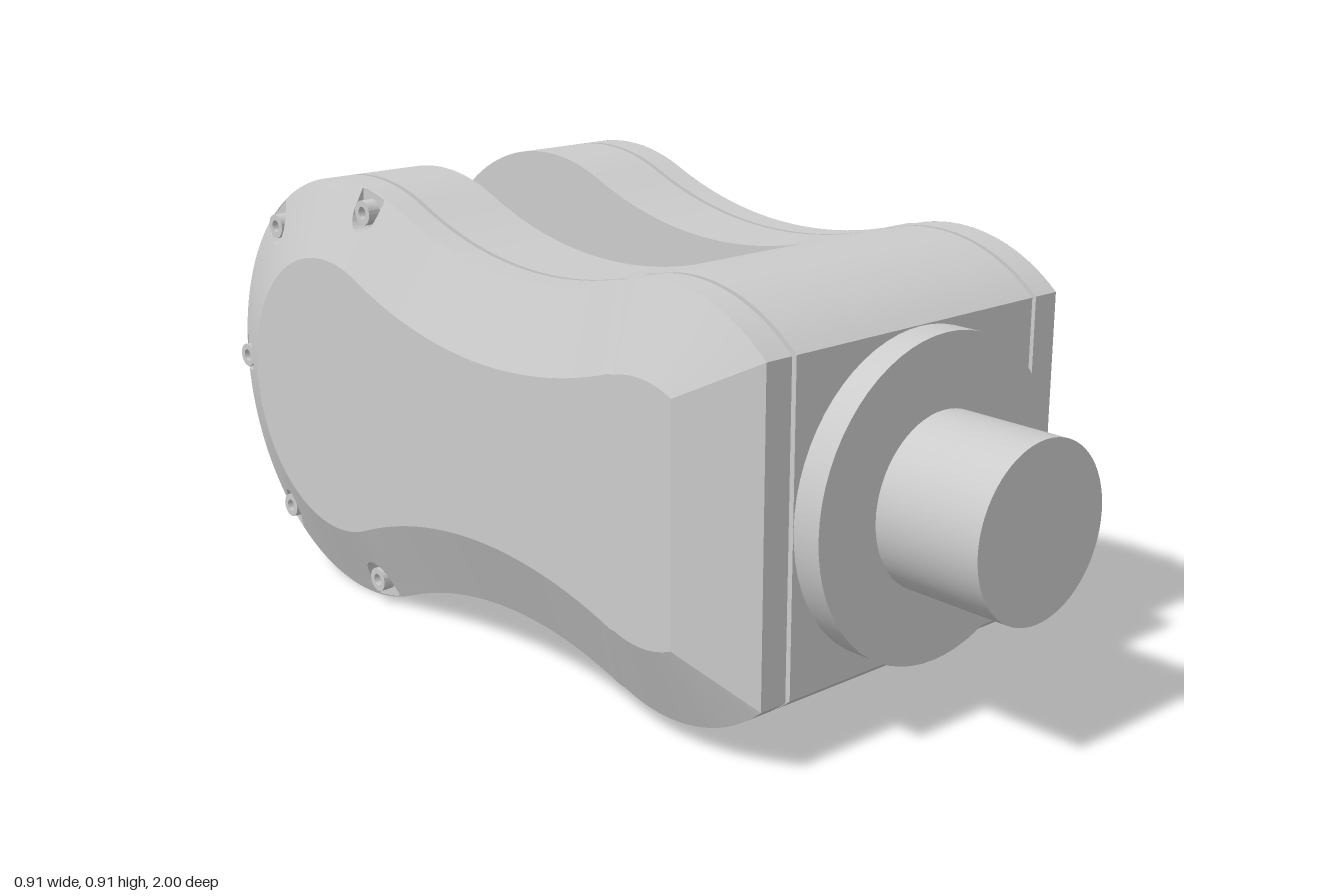
import * as THREE from 'three';
import { toCreasedNormals, mergeGeometries } from 'three/addons/utils/BufferGeometryUtils.js';

const MID = 0.457;                       // height of the symmetry line
const CHAMFER = 0.16;                    // inset of the cover's flat face
const X_EDGE = 0.385, X_FACE = 0.455;    // cover rim and cover face
const SCREW_INSET = 0.044;

// Upper half of the side outline: three tangent arcs, centres in (z, y)
const ARCS = [
  { z: 0.46, y: 0.494, r: 0.376, inward: -1, a0: 0.844, a1: 1.902 },
  { z: 0.02, y: 1.775, r: 0.975, inward: 1, a0: -1.240, a1: -1.973 },
  { z: -0.54, y: MID, r: 0.457, inward: -1, a0: 1.169, a1: Math.PI },
];
const lengths = ARCS.map((a) => a.r * Math.abs(a.a1 - a.a0));
const HALF = lengths[0] + lengths[1] + lengths[2];

const grey = () => new THREE.MeshStandardMaterial({ color: 0xcccccc, side: THREE.DoubleSide });

// Point [z, y] at distance s along the outline, inset by d
function outlineAt(s, d) {
  const lower = s > HALF;
  let t = lower ? 2 * HALF - s : s;
  let i = 0;
  while (i < 2 && t > lengths[i]) t -= lengths[i++];
  const a = ARCS[i];
  const start = i === 0 ? Math.acos((0.25 - d) / (a.r - d)) : a.a0;
  const angle = start + (a.a1 - start) * (t / lengths[i]);
  const r = a.r + a.inward * d;
  const y = a.y + r * Math.sin(angle);
  return [a.z + r * Math.cos(angle), lower ? 2 * MID - y : y];
}

function outline(d, n = 160) {
  return Array.from({ length: n + 1 }, (_, i) => outlineAt((2 * HALF * i) / n, d));
}

const toShape = (pts) => new THREE.Shape(pts.map(([z, y]) => new THREE.Vector2(-z, y)));

// Plate with a side-view shape, between x0 and x1
function plate(shape, x0, x1) {
  const g = new THREE.ExtrudeGeometry(shape, { depth: x1 - x0, bevelEnabled: false, curveSegments: 32 });
  g.rotateY(Math.PI / 2).translate(x0, 0, 0);
  return toCreasedNormals(g, 0.3);
}

// Surface through rows of [x, y, z] points
function loft(rows) {
  const n = rows[0].length;
  const index = [];
  for (let j = 0; j < rows.length - 1; j++) {
    for (let i = 0; i < n - 1; i++) {
      const a = j * n + i, b = a + n;
      index.push(a, a + 1, b, b, a + 1, b + 1);
    }
  }
  const g = new THREE.BufferGeometry();
  g.setAttribute('position', new THREE.Float32BufferAttribute(rows.flat(2), 3));
  g.setIndex(index);
  return g;
}

// Point on the sloping border of the cover
function slope(s, d) {
  const [z, y] = outlineAt(s, d);
  return [X_EDGE + (X_FACE - X_EDGE) * (d / CHAMFER), y, z];
}

// Stretch of sloping border without a pocket
function plainPatch(s0, s1) {
  const row = (d) => Array.from({ length: 25 }, (_, i) => slope(s0 + ((s1 - s0) * i) / 24, d));
  return [loft([row(CHAMFER), row(0)])];
}

// Stretch of sloping border around a screw pocket, plus the pocket wall
function pocketPatch(s0, s1, sc) {
  const N = 24, M = 8, rim = [];
  const along = (i) => {
    const t = (2 * i) / N - 1;
    const w = Math.pow(Math.abs(t), 1.7);
    return t < 0 ? sc - (sc - s0) * w : sc + (s1 - sc) * w;
  };
  for (let i = 0; i < N; i++) rim.push([along(i), 0]);
  for (let i = 0; i < M; i++) rim.push([s1, (CHAMFER * i) / M]);
  for (let i = N; i > 0; i--) rim.push([along(i), CHAMFER]);
  for (let i = M; i >= 0; i--) rim.push([s0, (CHAMFER * i) / M]);
  // round on the inside, squared off towards the edge
  const hole = rim.map(([s, d]) => {
    const a = Math.atan2(d - SCREW_INSET, s - sc);
    const c = Math.cos(a), v = Math.sin(a);
    const r = 0.041 / (v < 0 ? Math.max(Math.abs(c), Math.abs(v)) : 1);
    return [sc + r * c, SCREW_INSET + r * v];
  });
  const rows = [0, 0.33, 0.67, 1].map((k) => rim.map(([s, d], i) =>
    slope(s + (hole[i][0] - s) * k, d + (hole[i][1] - d) * k)));
  const top = rows[3];
  return [loft(rows), loft([top, top.map(([, y, z]) => [X_EDGE, y, z])])];
}

// Screw places along the upper half; the last one sits at the very back
const upper = [0.165, 0.505, 0.845, 1.196, 1.603];
const places = [...upper, HALF, ...upper.map((s) => 2 * HALF - s).reverse()];

function sideCover(hasScrew) {
  const cover = new THREE.Group();
  const rimPlate = new THREE.Mesh(plate(toShape(outline(0)), 0.325, X_EDGE), grey());
  rimPlate.name = 'coverRim';
  const gasket = new THREE.Mesh(plate(toShape(outline(0.025)), 0.314, 0.325), grey());
  gasket.name = 'gasket';

  const parts = [];
  places.forEach((s, i) => {
    const s0 = i ? (places[i - 1] + s) / 2 : 0;
    const s1 = i < places.length - 1 ? (s + places[i + 1]) / 2 : 2 * HALF;
    parts.push(...(hasScrew(i) ? pocketPatch(s0, s1, s) : plainPatch(s0, s1)));
  });
  // sloping strip at the front
  parts.push(loft([0, CHAMFER].map((d) => [slope(0, d), slope(2 * HALF, d)])));
  const border = new THREE.Mesh(
    toCreasedNormals(mergeGeometries(parts.map((g) => {
      const flat = g.toNonIndexed();
      flat.computeVertexNormals();
      return flat;
    })), 0.3), grey());
  border.name = 'coverSlope';

  const faceGeo = new THREE.ShapeGeometry(toShape(outline(CHAMFER)));
  faceGeo.rotateY(Math.PI / 2).translate(X_FACE, 0, 0);
  const face = new THREE.Mesh(faceGeo, grey());
  face.name = 'coverFace';
  cover.add(rimPlate, gasket, border, face);

  // socket-head screws
  const profile = [[0.026, 0], [0.026, 0.027], [0.013, 0.027], [0.013, 0.008], [0, 0.008]];
  const screwGeo = toCreasedNormals(new THREE.LatheGeometry(
    profile.map(([r, h]) => new THREE.Vector2(r, h)), 20).rotateZ(-Math.PI / 2), 0.5);
  places.forEach((s, i) => {
    if (!hasScrew(i)) return;
    const [z, y] = outlineAt(s, SCREW_INSET);
    const screw = new THREE.Mesh(screwGeo, grey());
    screw.name = 'screw';
    screw.position.set(X_EDGE, y, z);
    cover.add(screw);
  });
  return cover;
}

export function createModel() {
  const model = new THREE.Group();
  model.name = 'forkJoint';
  const add = (name, geometry) => {
    const mesh = new THREE.Mesh(geometry, grey());
    mesh.name = name;
    model.add(mesh);
    return mesh;
  };

  // Fork arms with a pivot hole
  const arm = toShape(outline(0));
  const bore = new THREE.Path();
  bore.absarc(0.54, MID, 0.13, 0, Math.PI * 2, true);
  arm.holes.push(bore);
  add('leftArm', plate(arm, 0.145, 0.314));
  add('rightArm', plate(arm, -0.314, -0.145));

  // Solid block joining the arms in front of the slot
  const front = outline(0).filter(([z]) => z > 0.322);
  const half = front.length / 2;
  const block = [...front.slice(0, half), [0.32, 0.847], [0.32, 2 * MID - 0.847], ...front.slice(half)];
  add('bridgeBlock', plate(toShape(block), -0.145, 0.145));

  // Front flange and shaft
  const rod = (r, z0, z1) => new THREE.CylinderGeometry(r, r, z1 - z0, 64)
    .rotateX(Math.PI / 2).translate(0, 0.46, (z0 + z1) / 2);
  add('flange', rod(0.313, 0.70, 0.77));
  add('shaft', rod(0.17, 0.76, 1.0));

  // Covers: all screws on the left, only the rear five on the right
  const left = sideCover(() => true);
  left.name = 'leftCover';
  const right = sideCover((i) => i >= 3 && i <= 7);
  right.name = 'rightCover';
  right.scale.x = -1;
  model.add(left, right);
  return model;
}
